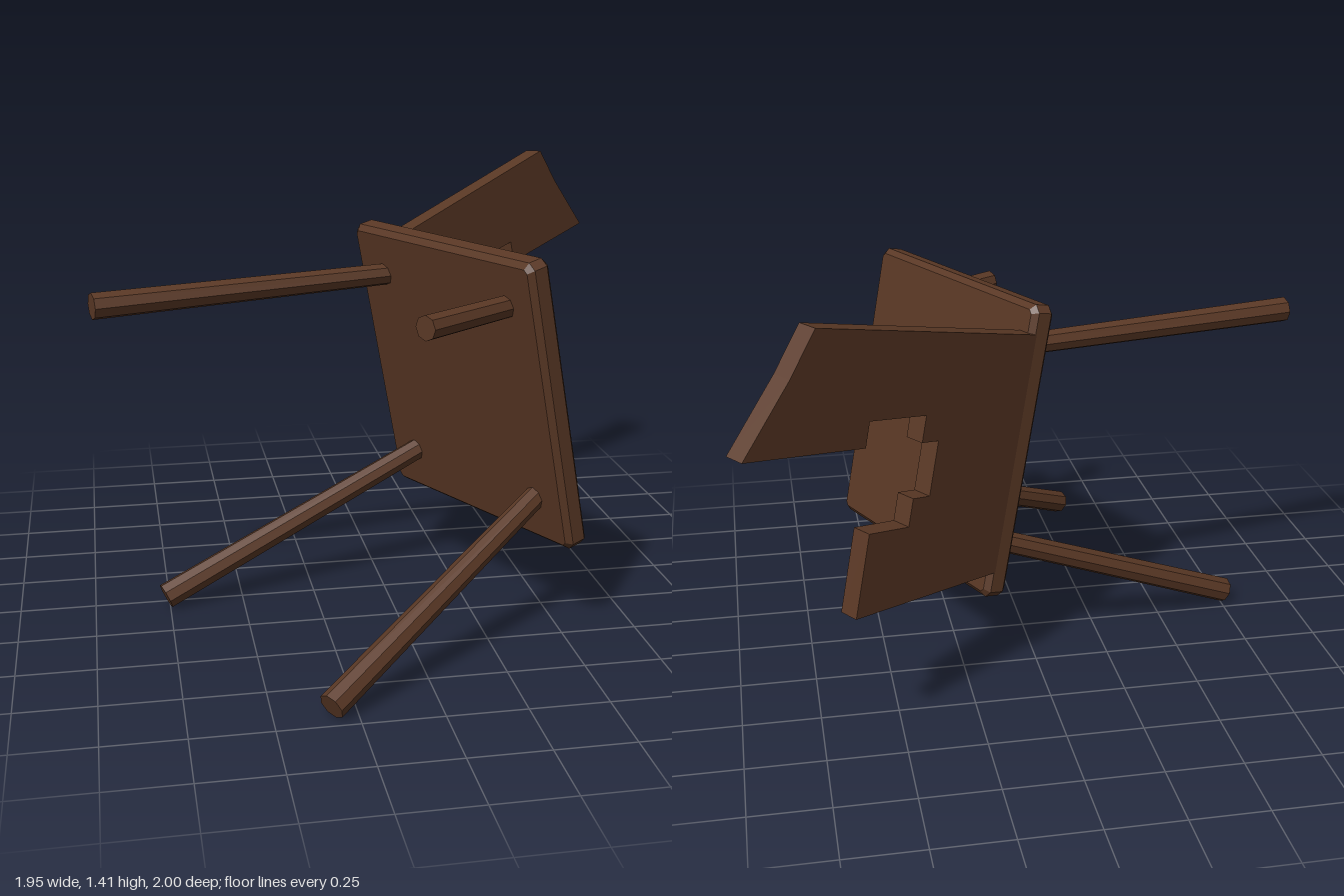
import * as THREE from 'three';

const darkWood = new THREE.MeshStandardMaterial({ color: 0x5a3825, flatShading: true });
darkWood.name = 'dark wood';

function addPart(parent, name, geometry) {
  const mesh = new THREE.Mesh(geometry, darkWood);
  mesh.name = name;
  parent.add(mesh);
  return mesh;
}

// Slab with cut corners and chamfered edges, lying flat
function seatGeometry(width, thick, depth, c) {
  const x = width / 2 - c, z = depth / 2 - c, k = 0.012;
  const shape = new THREE.Shape([
    [x - k, -z], [x, -z + k], [x, z - k], [x - k, z],
    [-x + k, z], [-x, z - k], [-x, -z + k], [-x + k, -z],
  ].map(p => new THREE.Vector2(...p)));
  const geo = new THREE.ExtrudeGeometry(shape, {
    depth: thick - 2 * c, bevelEnabled: true, bevelThickness: c, bevelSize: c, bevelSegments: 1,
  });
  return geo.translate(0, 0, c - thick / 2).rotateX(-Math.PI / 2);
}

// Splayed eight-sided leg; part < 1 gives a broken stub
function addLeg(parent, name, sx, sz, part) {
  const base = new THREE.Vector3(sx * 0.33, -0.02, sz * 0.315);
  const foot = new THREE.Vector3(sx * 0.53, -1.03, sz * 0.5);
  const end = base.clone().lerp(foot, part);
  const dir = end.clone().sub(base);
  const rTop = 0.037, rEnd = rTop + 0.007 * part;
  const leg = addPart(parent, name, new THREE.CylinderGeometry(rTop, rEnd, dir.length(), 8));
  leg.position.copy(base).add(end).multiplyScalar(0.5);
  leg.quaternion.setFromUnitVectors(new THREE.Vector3(0, -1, 0), dir.normalize());
}

export function createModel() {
  const model = new THREE.Group();
  model.name = 'brokenChair';

  // The chair is built upright about its seat, then tipped over on its side
  const chair = new THREE.Group();
  chair.name = 'chair';
  model.add(chair);

  addPart(chair, 'seat', seatGeometry(0.985, 0.085, 0.925, 0.018));

  addLeg(chair, 'frontLeg', 1, 1, 1);
  addLeg(chair, 'brokenFrontLeg', -1, 1, 0.375);
  addLeg(chair, 'backLeg', 1, -1, 1);
  addLeg(chair, 'backLeg', -1, -1, 1);

  // Flared backrest, with a stepped hole and one corner broken away
  const lean = 0.23;
  const outline = [
    [0.4, 0.03], [0.45, 0.643], [0.18, 0.643], [0.18, 0.48], [0.09, 0.48], [0.09, 0.41],
    [-0.085, 0.41], [-0.085, 0.48], [-0.17, 0.48], [-0.17, 0.71], [-0.09, 0.71],
    [-0.09, 1.156], [-0.31, 1.03], [-0.45, 0.965], [-0.4, 0.03],
  ].map(([x, y]) => new THREE.Vector2(x, y / Math.cos(lean)));
  const thick = 0.065;
  const backGeo = new THREE.ExtrudeGeometry(new THREE.Shape(outline), { depth: thick, bevelEnabled: false });
  const backrest = addPart(chair, 'backrest', backGeo.translate(0, 0, -thick));
  backrest.position.z = -0.391;
  backrest.rotation.x = -lean;

  // Tipped pose: seat top faces sideways and slightly upward
  const yaw = THREE.MathUtils.degToRad(25.5), tilt = THREE.MathUtils.degToRad(12);
  const forward = new THREE.Vector3(Math.sin(yaw), 0, Math.cos(yaw));
  const up = new THREE.Vector3(
    Math.cos(yaw) * Math.cos(tilt), Math.sin(tilt), -Math.sin(yaw) * Math.cos(tilt));
  const side = up.clone().cross(forward);
  chair.quaternion.setFromRotationMatrix(new THREE.Matrix4().makeBasis(side, up, forward));
  chair.position.set(0.262, 0.785, 0.12);

  return model;
}
